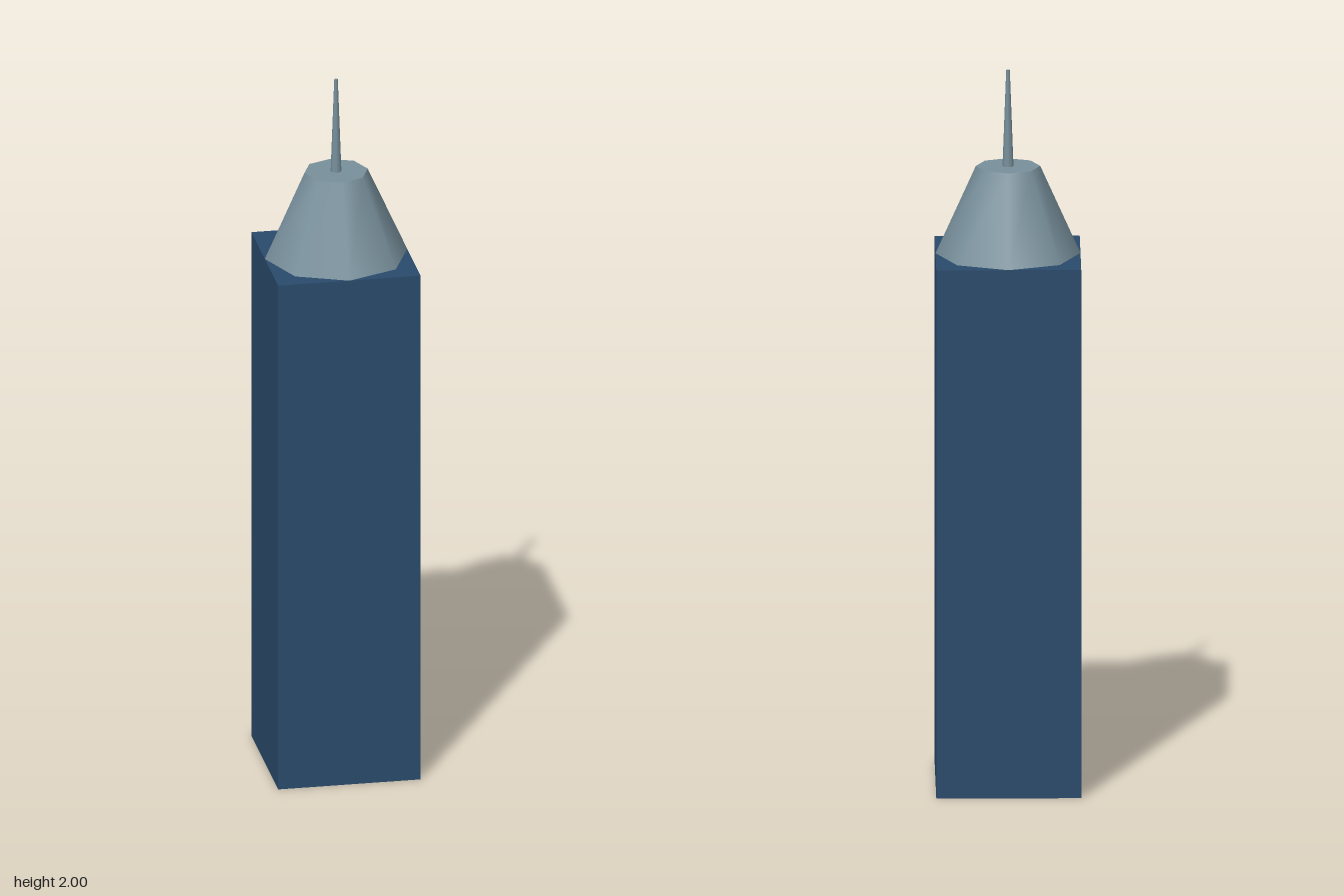
import * as THREE from 'three';

export function createModel() {
  const group = new THREE.Group();
  const material = (color) => new THREE.MeshStandardMaterial({ color });
  const navy = material(0x2a4a6b);
  const slate = material(0x78909c);

  const bodyWidth = 0.396, bodyTop = 1.485, roofTop = 1.73, spireTop = 2;

  // Adds a part standing between two heights
  function addPart(name, geometry, mat, bottom, top) {
    const mesh = new THREE.Mesh(geometry, mat);
    mesh.name = name;
    mesh.position.y = (bottom + top) / 2;
    group.add(mesh);
  }

  // Square tower shaft
  addPart('towerBody', new THREE.BoxGeometry(bodyWidth, bodyTop, bodyWidth), navy, 0, bodyTop);

  // Tapered eight-sided roof with a flat top
  addPart('roof', new THREE.CylinderGeometry(0.088, bodyWidth / 2, roofTop - bodyTop, 8),
    slate, bodyTop, roofTop);

  // Thin tapered mast
  addPart('spire', new THREE.CylinderGeometry(0.005, 0.015, spireTop - roofTop, 8),
    slate, roofTop, spireTop);

  return group;
}
